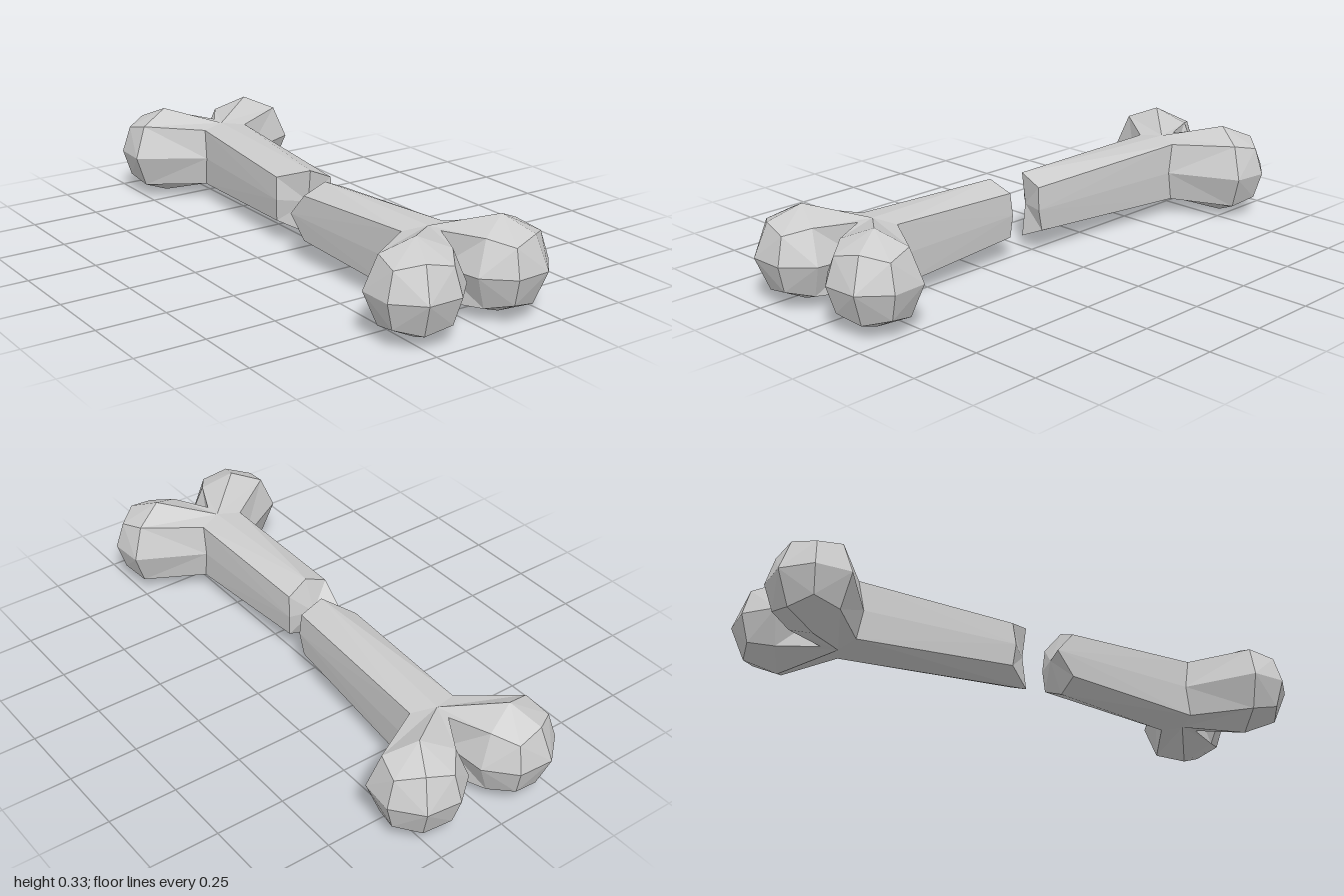
import * as THREE from 'three';

const MID = 0.165; // height of the bone's axis, also the knob radius

// Eight section points: top, then round by the +x side
const SECTION = [[0, 1], [1, 1], [1, 0], [1, -1], [0, -1], [-1, -1], [-1, 0], [-1, 1]];

const material = new THREE.MeshStandardMaterial({ color: 0xcccccc, flatShading: true });

// Skins a list of rings running along +z, with optional fan caps
function loft(name, rings, startCap, endCap) {
  const pos = [];
  const tri = (...pts) => pts.forEach((p) => pos.push(...p));
  const n = SECTION.length;
  for (let i = 0; i < n; i++) {
    const j = (i + 1) % n;
    for (let k = 0; k < rings.length - 1; k++) {
      const a = rings[k], b = rings[k + 1];
      // split each quad from its corner point to keep both sides symmetric
      if (i % 2) {
        tri(a[i], b[i], a[j]);
        tri(a[j], b[i], b[j]);
      } else {
        tri(a[i], b[i], b[j]);
        tri(a[i], b[j], a[j]);
      }
    }
    if (startCap) tri(startCap, rings[0][i], rings[0][j]);
    const last = rings[rings.length - 1];
    if (endCap) tri(endCap, last[j], last[i]);
  }
  const geo = new THREE.BufferGeometry();
  geo.setAttribute('position', new THREE.Float32BufferAttribute(pos, 3));
  geo.computeVertexNormals();
  const mesh = new THREE.Mesh(geo, material);
  mesh.name = name;
  return mesh;
}

// Points where the shaft meets the knobs
function sidePoint(s, b) {
  return b ? [s * 0.085, b * 0.107, -0.03] : [s * 0.09, 0, -0.05];
}
const centrePoint = (b) => [0, b * 0.118, 0];
const crotchPoint = (b) => [0, b * 0.118, 0.062];

// Faceted ball whose back is drawn out to the shaft; s is the side
function makeKnob(s) {
  const angle = s * THREE.MathUtils.degToRad(24);
  const centre = new THREE.Vector3(s * 0.174, 0, 0.148);
  const up = new THREE.Vector3(0, 1, 0);
  const ball = (a, b, c) => new THREE.Vector3(a, b, c)
    .setLength(MID).applyAxisAngle(up, angle).add(centre).toArray();
  const root = SECTION.map(([a, b]) =>
    a === 0 ? centrePoint(b) : a === s ? sidePoint(s, b) : crotchPoint(b));
  const waist = SECTION.map(([a, b]) => ball(a, b, 0));
  const front = SECTION.map(([a, b]) => ball(a, b, 1));
  return loft(s > 0 ? 'leftKnob' : 'rightKnob', [root, waist, front], null, ball(0, 0, 1));
}

// Shaft with a broken end; breakZ gives the end of each section point
function makeShaft(breakZ, breakCentre) {
  const end = SECTION.map(([a, b], i) => [
    a * (b ? 0.084 : 0.09),
    b * (a ? 0.081 : 0.118),
    breakZ[i],
  ]);
  const joint = SECTION.map(([a, b]) => (a ? sidePoint(a, b) : centrePoint(b)));
  return loft('shaft', [end, joint], [0, 0, breakCentre], null);
}

function makeHalf(name, x, z, turn, breakZ, breakCentre) {
  const half = new THREE.Group();
  half.name = name;
  half.add(makeShaft(breakZ, breakCentre), makeKnob(1), makeKnob(-1));
  half.position.set(x, MID, z);
  half.rotation.y = turn;
  return half;
}

export function createModel() {
  const bone = new THREE.Group();
  bone.name = 'brokenBone';
  bone.add(
    // wedge-shaped break
    makeHalf('frontHalf', -0.045, 0.688, 0.033,
      [-0.546, -0.558, -0.565, -0.558, -0.546, -0.553, -0.623, -0.553], -0.592),
    // slanted break
    makeHalf('backHalf', 0.02, -0.685, Math.PI - 0.08,
      [-0.7, -0.605, -0.615, -0.605, -0.7, -0.68, -0.7, -0.696], -0.685),
  );
  return bone;
}
